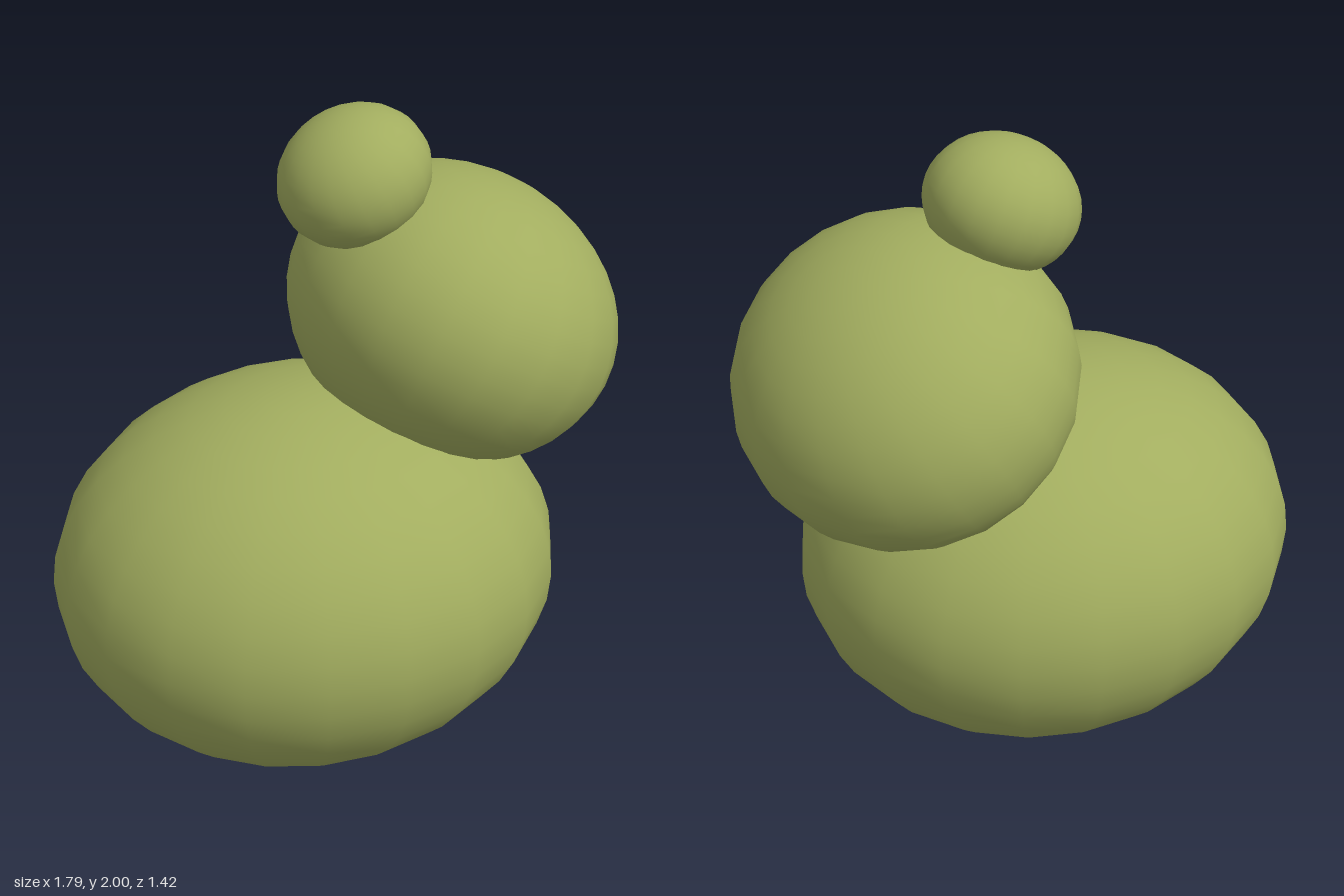
import * as THREE from 'three';
import { mergeVertices } from 'three/addons/utils/BufferGeometryUtils.js';

const material = new THREE.MeshStandardMaterial({ color: 0xa2ad5f });

// A tilted ellipsoid: radii, centre and rotation
function stone(name, radii, centre, rotation = [0, 0, 0]) {
  const mesh = new THREE.Mesh(new THREE.SphereGeometry(1, 20, 20), material);
  mesh.name = name;
  mesh.scale.set(...radii);
  mesh.position.set(...centre);
  mesh.rotation.set(...rotation);
  return mesh;
}

// Large stone, with its underside pressed flat on the ground
function baseStone() {
  const geometry = new THREE.SphereGeometry(1, 20, 20);
  geometry.scale(0.79, 0.59, 0.71);
  geometry.translate(-0.11, 0.55, 0);
  const p = geometry.attributes.position;
  for (let i = 0; i < p.count; i++) if (p.getY(i) < 0.04) p.setY(i, 0);
  geometry.deleteAttribute('uv');
  geometry.deleteAttribute('normal');
  const smooth = mergeVertices(geometry);
  smooth.computeVertexNormals();
  const mesh = new THREE.Mesh(smooth, material);
  mesh.name = 'baseStone';
  return mesh;
}

export function createModel() {
  const group = new THREE.Group();
  group.name = 'stackedStones';
  group.add(
    baseStone(),
    stone('middleStone', [0.512, 0.44, 0.54], [0.395, 1.3, -0.02], [-0.06, 0, -0.53]),
    stone('topStone', [0.234, 0.198, 0.225], [0.08, 1.795, -0.053], [0, 0, 0.44]),
  );
  return group;
}
